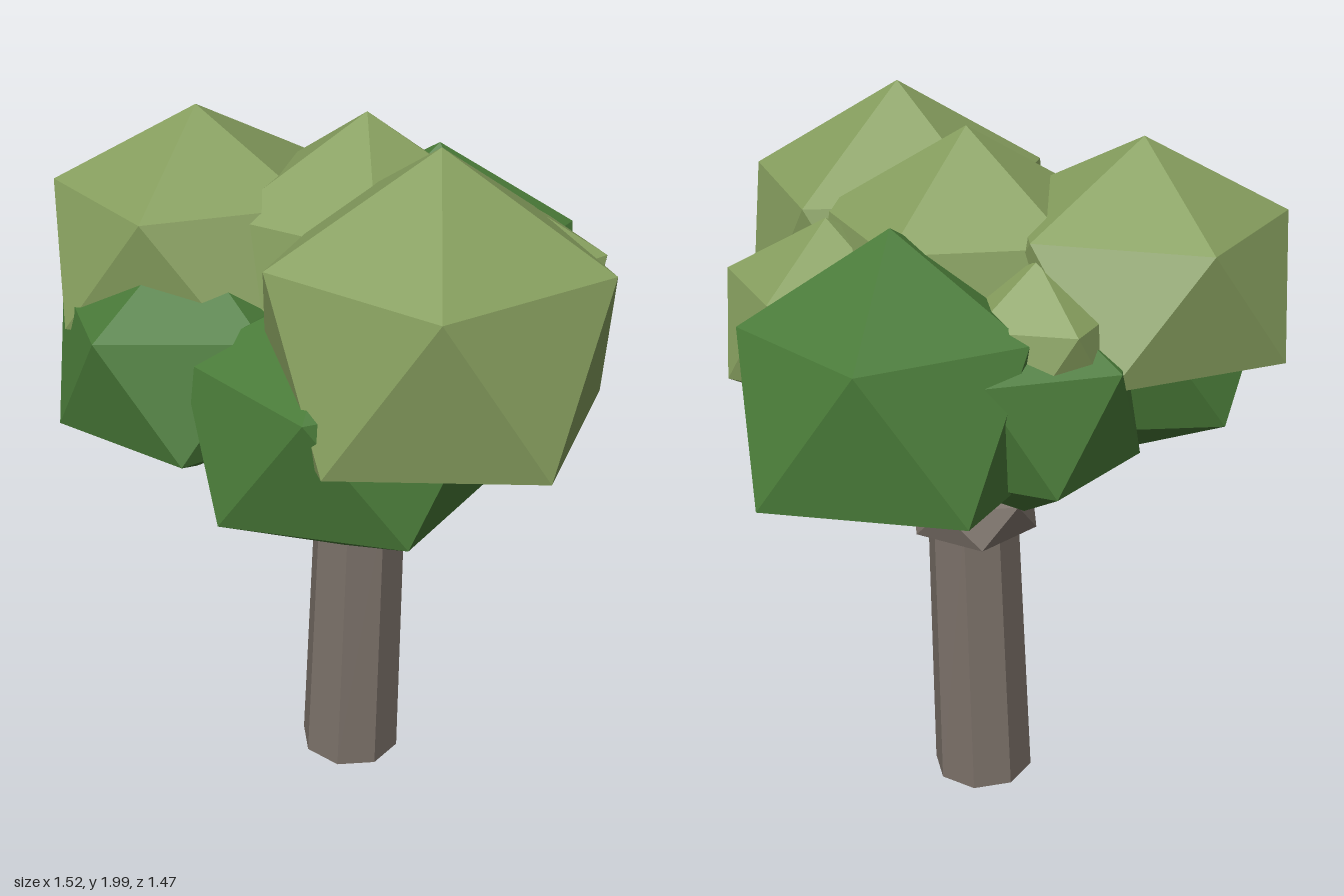
import * as THREE from 'three';

const flat = (name, color) => {
  const m = new THREE.MeshStandardMaterial({ color, flatShading: true });
  m.name = name;
  return m;
};

// Icosahedron standing on a corner; yaw turns its upper ring from +x towards +z.
// flare widens the lower ring, depth shortens the bottom corner.
function corneredBall(name, material, [x, y, z], radius, height, yawDegrees, flare = 1, depth = 1) {
  const g = new THREE.IcosahedronGeometry(1, 0);
  g.rotateZ(-Math.atan(2 / (1 + Math.sqrt(5))));
  const p = g.attributes.position;
  for (let i = 0; i < p.count; i++) {
    if (p.getY(i) < -0.9) p.setY(i, -depth);
    else if (p.getY(i) < 0) p.setXYZ(i, p.getX(i) * flare, p.getY(i), p.getZ(i) * flare);
  }
  g.rotateY(-THREE.MathUtils.degToRad(yawDegrees));
  g.scale(radius, height, radius);
  const mesh = new THREE.Mesh(g, material);
  mesh.name = name;
  mesh.position.set(x, y, z);
  return mesh;
}

export function createModel() {
  const tree = new THREE.Group();
  tree.name = 'tree';
  const bark = flat('bark', 0x7a7068);
  const lightLeaf = flat('lightLeaf', 0x869e5e);
  const darkLeaf = flat('darkLeaf', 0x497a38);

  // Trunk: eight sides, leaning slightly towards +x
  const trunkGeo = new THREE.CylinderGeometry(0.13, 0.147, 0.88, 8);
  trunkGeo.translate(0, 0.445, 0);
  const p = trunkGeo.attributes.position;
  for (let i = 0; i < p.count; i++) {
    const low = p.getY(i) < 0.1;
    p.setX(i, p.getX(i) + 0.045 + 0.03 * p.getY(i));
    if (low) p.setY(i, 0.012 - 0.03 * (p.getX(i) - 0.045));
  }
  const trunk = new THREE.Mesh(trunkGeo, bark);
  trunk.name = 'trunk';
  trunk.position.z = -0.013;
  tree.add(trunk);

  // Knobbly collar at the top of the trunk
  tree.add(corneredBall('trunkCollar', bark, [0.07, 0.885, 0], 0.2, 0.125, 0));

  // Thin twigs fanning out from the collar into the leaves
  const twigs = new THREE.Group();
  twigs.name = 'twigs';
  for (let i = 0; i < 10; i++) {
    const a = (i / 10) * Math.PI * 2;
    const dir = new THREE.Vector3(Math.cos(a) * 0.75, 1, Math.sin(a) * 0.75).normalize();
    const twig = new THREE.Mesh(new THREE.CylinderGeometry(0.012, 0.016, 0.32, 5), bark);
    twig.name = 'twig';
    twig.quaternion.setFromUnitVectors(new THREE.Vector3(0, 1, 0), dir);
    twig.position.set(0.07, 0.92, 0).addScaledVector(dir, 0.16);
    twigs.add(twig);
  }
  tree.add(twigs);

  // Leaf clumps: name, material, centre, radius, half height, yaw, flare, depth
  const clumps = [
    ['frontRightCrown', lightLeaf, [0.34, 1.535, 0.32], 0.475, 0.465, 5, 1.05, 0.66],
    ['leftCrown', lightLeaf, [-0.37, 1.6, -0.005], 0.425, 0.36, 21, 1.1, 0.9],
    ['middleCrown', lightLeaf, [0.08, 1.55, -0.02], 0.43, 0.42, 0],
    ['smallSideCrown', lightLeaf, [0.42, 1.48, -0.15], 0.305, 0.27, 0, 1.05],
    ['smallBackCrown', lightLeaf, [-0.15, 1.49, -0.3], 0.24, 0.23, 18],
    ['backFoliage', darkLeaf, [0.2, 1.38, -0.36], 0.425, 0.42, -18, 1.16, 0.83],
    ['frontFoliage', darkLeaf, [0.11, 1.28, 0.31], 0.45, 0.38, 17],
    ['leftFoliage', darkLeaf, [-0.34, 1.35, 0.19], 0.4, 0.34, 39],
    ['smallBackFoliage', darkLeaf, [-0.12, 1.35, -0.29], 0.33, 0.32, 65],
    ['smallSideFoliage', darkLeaf, [0.27, 1.32, 0], 0.38, 0.345, 36],
  ];
  for (const c of clumps) tree.add(corneredBall(...c));

  return tree;
}
